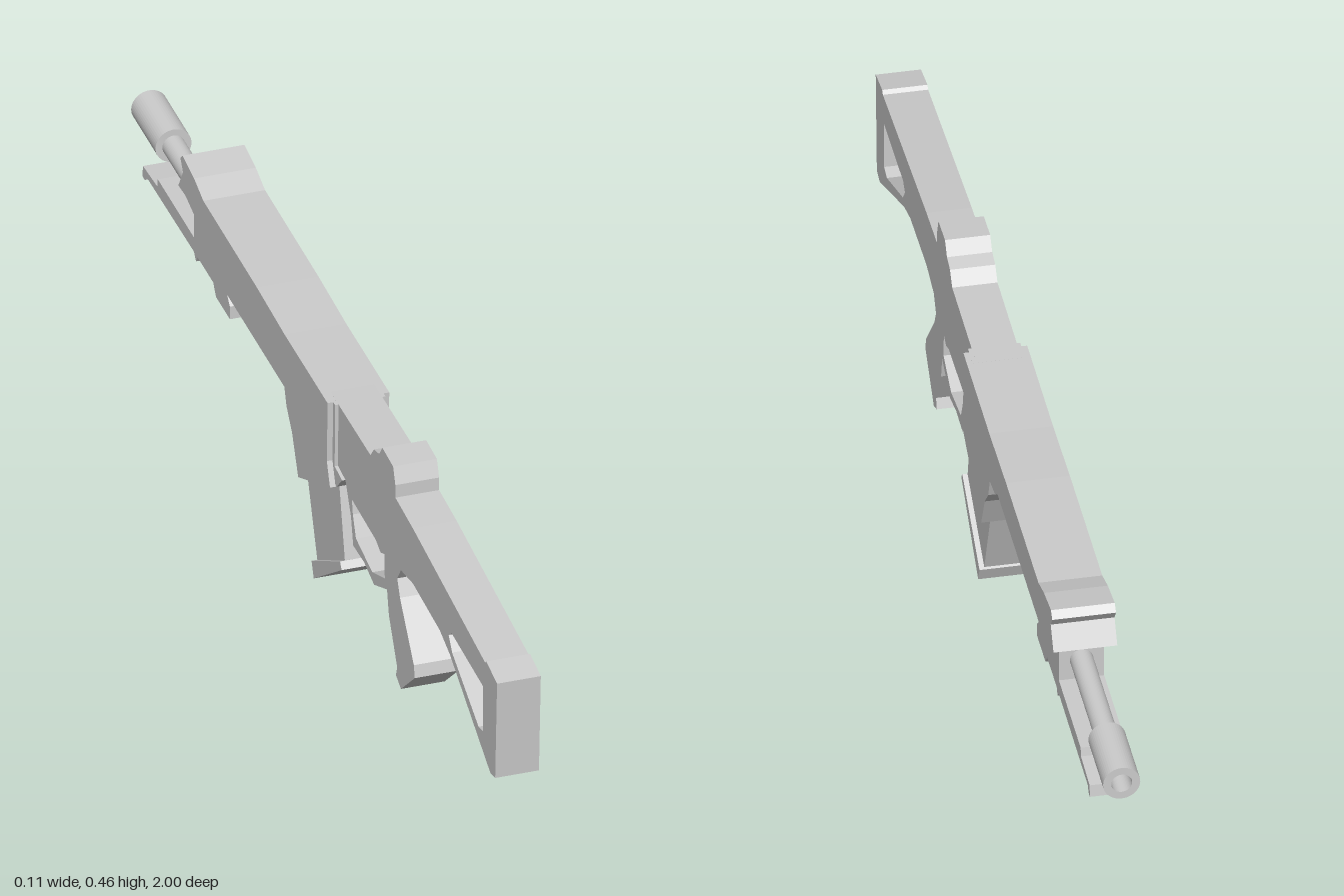
import * as THREE from 'three';

const material = new THREE.MeshStandardMaterial({ color: 0xcccccc, flatShading: true });
const smooth = new THREE.MeshStandardMaterial({ color: 0xcccccc });
const toPoints = (list) => list.map(([z, y]) => new THREE.Vector2(z, y));

// Side profile given as [z, y] corners, extruded evenly to both sides of x = 0
function slab(name, halfWidth, outline, holes = []) {
  const shape = new THREE.Shape(toPoints(outline));
  for (const hole of holes) shape.holes.push(new THREE.Path(toPoints(hole)));
  const geometry = new THREE.ExtrudeGeometry(shape, { depth: halfWidth * 2, bevelEnabled: false });
  geometry.translate(0, 0, -halfWidth).rotateY(-Math.PI / 2);
  const mesh = new THREE.Mesh(geometry, material);
  mesh.name = name;
  return mesh;
}

// Ring-section tube along z, running forward from z0 to z1
function tube(name, outer, inner, z0, z1, y) {
  const shape = new THREE.Shape().absarc(0, 0, outer, 0, Math.PI * 2);
  shape.holes.push(new THREE.Path().absarc(0, 0, inner, 0, Math.PI * 2, true));
  const geometry = new THREE.ExtrudeGeometry(shape, { depth: z0 - z1, bevelEnabled: false, curveSegments: 24 });
  geometry.translate(0, y, z1);
  const mesh = new THREE.Mesh(geometry, smooth);
  mesh.name = name;
  return mesh;
}

export function createModel() {
  const model = new THREE.Group();
  model.name = 'rifle';

  // Stock, rear sight hump, receiver, grip and trigger guard share one profile
  const stockOpening = [[0.925, 0.31], [0.755, 0.315], [0.738, 0.302], [0.757, 0.278], [0.9, 0.215], [0.925, 0.22]];
  const guardOpening = [[0.39, 0.257], [0.37, 0.248], [0.345, 0.258], [0.215, 0.262], [0.22, 0.235],
    [0.237, 0.197], [0.325, 0.182], [0.393, 0.21]];
  model.add(slab('receiverAndStock', 0.039, [
    [1, 0.36], [0.942, 0.37], [0.936, 0.364], [0.545, 0.4], [0.45, 0.405],
    [0.45, 0.43], [0.438, 0.46], [0.38, 0.463], [0.362, 0.44], [0.335, 0.433], [0.315, 0.41],
    [0.1, 0.408], [0.1, 0.28], [0.18, 0.28], [0.21, 0.225], [0.222, 0.174], [0.28, 0.176],
    [0.335, 0.163], [0.405, 0.195], [0.415, 0.15], [0.46, 0.072], [0.453, 0.053], [0.48, 0.041],
    [0.555, 0.107], [0.55, 0.13], [0.475, 0.22], [0.46, 0.25], [0.48, 0.278], [0.545, 0.29],
    [0.69, 0.283], [0.745, 0.267], [0.965, 0.16], [0.99, 0.166],
  ], [stockOpening, guardOpening]));

  model.add(slab('trigger', 0.015, [
    [0.362, 0.265], [0.338, 0.265], [0.348, 0.225], [0.366, 0.19], [0.376, 0.192], [0.362, 0.225],
  ]));

  // Wide upper cover with the magazine well and raised front end
  model.add(slab('upperCover', 0.055, [
    [0.132, 0.408], [-0.1, 0.407], [-0.25, 0.412], [-0.54, 0.413], [-0.59, 0.428], [-0.652, 0.437],
    [-0.664, 0.425], [-0.65, 0.405], [-0.675, 0.364], [-0.636, 0.366], [-0.53, 0.342], [-0.18, 0.337],
    [-0.15, 0.316], [-0.105, 0.31], [-0.09, 0.27], [-0.06, 0.235], [-0.027, 0.166], [0.145, 0.247], [0.128, 0.29],
  ]));
  model.add(slab('coverRearLip', 0.045, [
    [0.142, 0.408], [0.1, 0.408], [0.1, 0.245], [0.15, 0.25], [0.18, 0.28], [0.14, 0.285],
  ]));

  // Lower handguard with its stepped block and the rail beneath the barrel
  model.add(slab('lowerHandguard', 0.039, [
    [0, 0.36], [-0.64, 0.37], [-0.64, 0.25], [-0.628, 0.237], [-0.62, 0.25], [-0.535, 0.25], [-0.52, 0.23],
    [-0.445, 0.23], [-0.445, 0.255], [-0.46, 0.27], [0, 0.27],
  ]));
  model.add(slab('underBarrelRail', 0.039, [
    [-0.62, 0.278], [-0.835, 0.278], [-0.838, 0.262], [-0.915, 0.257], [-0.918, 0.235], [-0.905, 0.235],
    [-0.9, 0.246], [-0.62, 0.25],
  ]));

  // Magazine and its wider base plate
  model.add(slab('magazine', 0.039, [
    [0.145, 0.26], [-0.03, 0.18], [0.03, 0.025], [0.178, 0.113],
  ]));
  model.add(slab('magazineBase', 0.048, [
    [0.178, 0.118], [0.024, 0.028], [0.036, 0], [0.187, 0.106],
  ]));

  // Barrel and hollow muzzle sleeve
  model.add(tube('barrel', 0.02, 0.012, -0.6, -0.9, 0.318));
  model.add(tube('muzzle', 0.032, 0.018, -0.868, -1, 0.318));

  return model;
}
